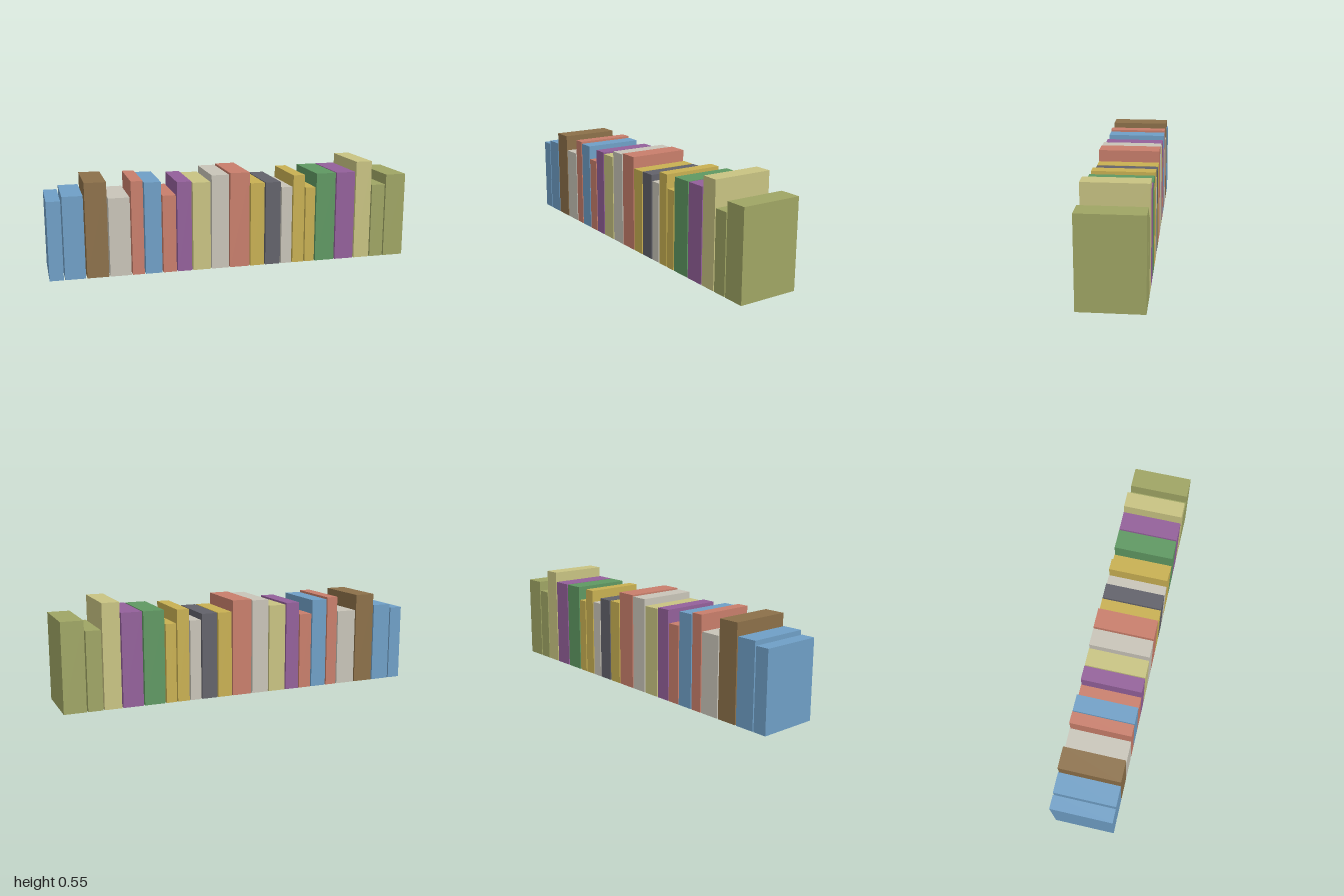
import * as THREE from 'three';

const COLORS = {
  blue: 0x6f9fc6, brown: 0x8c7049, paleGrey: 0xc8c4b8, coral: 0xc87e6b, purple: 0x93609a,
  straw: 0xc8c382, gold: 0xc8b052, charcoal: 0x62626a, green: 0x5f9862, olive: 0x9fa564,
};

// Each book: left edge x, right edge x, height, colour
const BOOKS = [
  [-1.0, -0.927, 0.42, 'blue'],
  [-0.92, -0.813, 0.442, 'blue'],
  [-0.806, -0.692, 0.508, 'brown'],
  [-0.685, -0.573, 0.421, 'paleGrey'],
  [-0.566, -0.503, 0.505, 'coral'],
  [-0.496, -0.407, 0.495, 'blue'],
  [-0.4, -0.329, 0.42, 'coral'],
  [-0.322, -0.244, 0.489, 'purple'],
  [-0.237, -0.14, 0.481, 'straw'],
  [-0.133, -0.038, 0.516, 'paleGrey'],
  [-0.031, 0.078, 0.523, 'coral'],
  [0.085, 0.163, 0.462, 'gold'],
  [0.17, 0.255, 0.462, 'charcoal'],
  [0.262, 0.322, 0.431, 'paleGrey'],
  [0.329, 0.394, 0.494, 'gold'],
  [0.401, 0.457, 0.422, 'gold'],
  [0.464, 0.576, 0.497, 'green'],
  [0.583, 0.692, 0.497, 'purple'],
  [0.699, 0.791, 0.553, 'straw'],
  [0.798, 0.876, 0.417, 'olive'],
  [0.883, 1.0, 0.472, 'olive'],
];
const DEPTH = 0.328;

export function createModel() {
  const group = new THREE.Group();
  group.name = 'bookRow';

  const materials = {};
  for (const [name, color] of Object.entries(COLORS)) {
    materials[name] = new THREE.MeshStandardMaterial({ color });
    materials[name].name = name;
  }

  // Upright books, all resting on the ground with a narrow gap between them
  BOOKS.forEach(([x0, x1, height, color], i) => {
    const book = new THREE.Mesh(new THREE.BoxGeometry(x1 - x0, height, DEPTH), materials[color]);
    book.position.set((x0 + x1) / 2, height / 2, 0);
    book.name = `book${i + 1}`;
    group.add(book);
  });
  return group;
}
